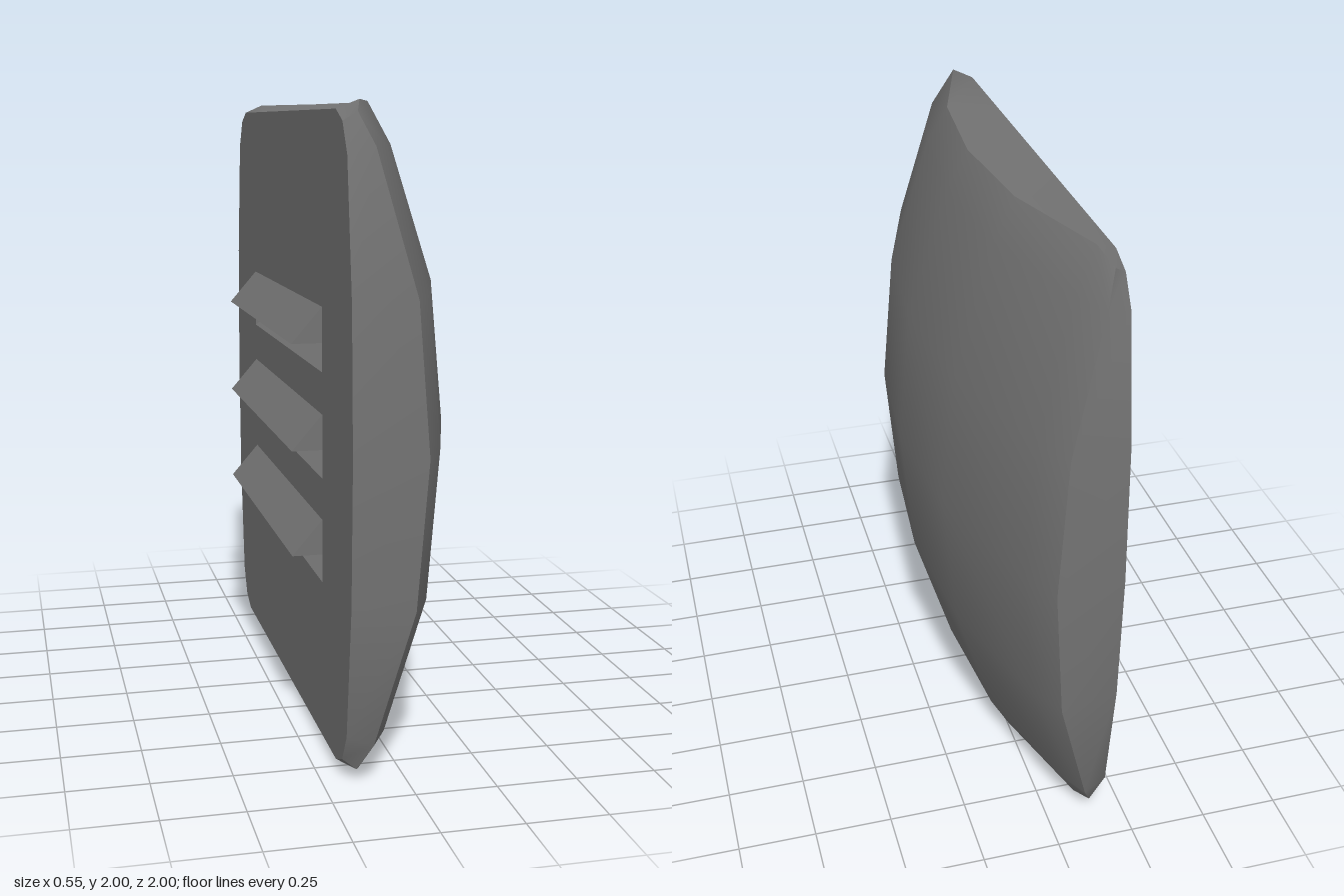
import * as THREE from 'three';
import { toCreasedNormals } from 'three/addons/utils/BufferGeometryUtils.js';

const BACK_X = -0.185;
const HALF_Z = 0.575; // half length of the louvres

// How far the dome falls away at a distance t from its centre line
function drop(t) {
  const at = [0, 0.45, 0.87, 1], d = [0, 0.04, 0.17, 0.24];
  const a = Math.abs(t);
  let k = 0;
  while (k < 2 && a > at[k + 1]) k++;
  return d[k] + (d[k + 1] - d[k]) * (a - at[k]) / (at[k + 1] - at[k]);
}

// Quarter of the cushion-shaped grid: z per row from the middle to the rim
const ZS = [
  [0, 0.44, 0.88, 1],
  [0, 0.44, 0.87, 0.985],
  [0, 0.42, 0.82, 0.925],
  [0, 0.4, 0.78, 0.865],
];
const YS = [0, 0.45, 0.87, 1];
const CORNER_DROP = [0, 0, 0, 0, 0, 0.012, 0.03]; // extra fall towards the corners

function gridPoint(i, j) {
  const u = i - 3, v = j - 3, a = Math.abs(u), b = Math.abs(v);
  const z = Math.sign(u) * ZS[b][a];
  const y = Math.sign(v) * (a === 3 && b === 3 ? 0.965 : YS[b]);
  return new THREE.Vector3(0.273 - drop(y) - drop(z) - CORNER_DROP[a + b], y + 1, z);
}

// Surface over a rows x cols point array
function surface(rows) {
  const n = rows[0].length, index = [];
  for (let j = 0; j < rows.length - 1; j++) {
    for (let i = 0; i < n - 1; i++) {
      const a = j * n + i, b = a + n;
      index.push(a, b, b + 1, a, b + 1, a + 1);
    }
  }
  const g = new THREE.BufferGeometry().setFromPoints(rows.flat());
  g.setIndex(index);
  g.computeVertexNormals();
  return g;
}

// Triangular prism along z
function prism(points) {
  const shape = new THREE.Shape(points.map(([x, y]) => new THREE.Vector2(x, y)));
  return new THREE.ExtrudeGeometry(shape, { depth: 2 * HALF_Z, bevelEnabled: false })
    .translate(0, 0, -HALF_Z);
}

export function createModel() {
  const group = new THREE.Group();
  const material = new THREE.MeshStandardMaterial({ color: 0x737373 });
  const add = (name, geometry) => {
    const mesh = new THREE.Mesh(geometry, material);
    mesh.name = name;
    group.add(mesh);
  };

  // Domed face
  const rows = [];
  for (let j = 0; j < 7; j++) {
    rows.push([]);
    for (let i = 0; i < 7; i++) rows[j].push(gridPoint(i, j));
  }
  add('domedFace', surface(rows));

  // Tapered side wall from the rim of the dome to the back
  const rim = [];
  for (let k = 0; k < 6; k++) rim.push(gridPoint(k, 6));
  for (let k = 6; k > 0; k--) rim.push(gridPoint(6, k));
  for (let k = 6; k > 0; k--) rim.push(gridPoint(k, 0));
  for (let k = 0; k < 6; k++) rim.push(gridPoint(0, k));
  const back = rim.map(p => new THREE.Vector3(BACK_X, 1 + (p.y - 1) * 0.973, p.z * 0.973));
  const wall = surface([[...rim, rim[0]], [...back, back[0]]]);
  add('sideWall', toCreasedNormals(wall, Math.PI / 6));

  // Flat back with three slots, each under a wedge-shaped hood
  const plate = new THREE.Shape(back.map(p => new THREE.Vector2(p.z, p.y)));
  for (const y of [0.62, 0.95, 1.28]) {
    const low = y - 0.09;
    plate.holes.push(new THREE.Path([
      new THREE.Vector2(-HALF_Z, low), new THREE.Vector2(-HALF_Z, y),
      new THREE.Vector2(HALF_Z, y), new THREE.Vector2(HALF_Z, low),
    ]));
    add('louvreHood', prism([[BACK_X, y], [BACK_X, y + 0.11], [BACK_X - 0.095, y]]));

    // Slot lining: a prism turned inside out, without the side over the opening
    const lining = prism([[BACK_X, low], [BACK_X + 0.1, y], [BACK_X, y]]).scale(1, 1, -1);
    const p = lining.getAttribute('position'), kept = [];
    for (let t = 0; t < p.count; t += 3) {
      const tri = [0, 1, 2].map(k => new THREE.Vector3().fromBufferAttribute(p, t + k));
      if (tri.some(v => v.x > BACK_X + 0.01)) kept.push(...tri);
    }
    const slot = new THREE.BufferGeometry().setFromPoints(kept);
    slot.computeVertexNormals();
    add('louvreSlot', slot);
  }
  add('backPlate', new THREE.ShapeGeometry(plate).rotateY(-Math.PI / 2).translate(BACK_X, 0, 0));

  return group;
}
